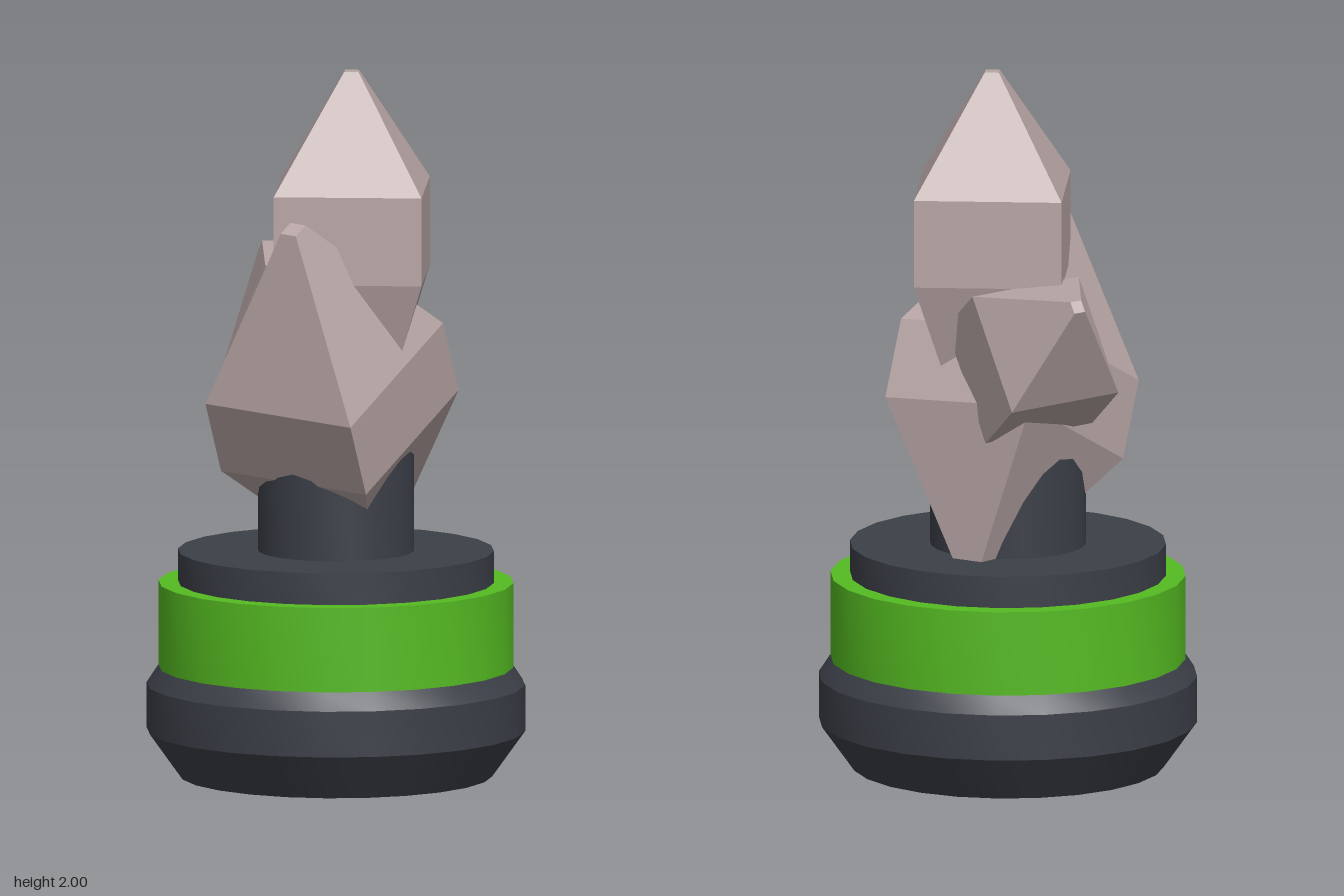
import * as THREE from 'three';
import { toCreasedNormals } from 'three/addons/utils/BufferGeometryUtils.js';

const dark = new THREE.MeshStandardMaterial({ color: 0x3b3f47 });
const green = new THREE.MeshStandardMaterial({ color: 0x55bb22 });
const stone = new THREE.MeshStandardMaterial({ color: 0xb9a6a6, flatShading: true });

// Round part from [radius, height] points
function turned(name, points, material) {
  const profile = points.map(([r, y]) => new THREE.Vector2(r, y));
  const geometry = toCreasedNormals(new THREE.LatheGeometry(profile, 24), 0.4);
  const mesh = new THREE.Mesh(geometry, material);
  mesh.name = name;
  return mesh;
}

// Four-sided crystal: blunt point, straight belt, tapering root.
// The origin is the middle of the belt's upper rim.
function crystal(name, { at, axis, side, halfX, halfZ, top, belt, root, tip }) {
  const k = Math.SQRT2, t = tip / halfX;
  const profile = [
    [0, -belt - root], [t * k, -belt - root], [k, -belt], [k, 0], [t * k, top], [0, top],
  ].map(([r, y]) => new THREE.Vector2(r, y));
  const geometry = new THREE.LatheGeometry(profile, 4, Math.PI / 4);
  geometry.scale(halfX, 1, halfZ);

  const y = new THREE.Vector3(...axis).normalize();
  const x = new THREE.Vector3().crossVectors(y, new THREE.Vector3(...side)).normalize();
  const z = new THREE.Vector3().crossVectors(x, y);
  geometry.applyMatrix4(new THREE.Matrix4().makeBasis(x, y, z).setPosition(...at));
  const flat = geometry.toNonIndexed();
  flat.computeVertexNormals();
  const mesh = new THREE.Mesh(flat, stone);
  mesh.name = name;
  return mesh;
}

export function createModel() {
  const model = new THREE.Group();
  model.name = 'crystalOnPedestal';

  // Pedestal with a hollow foot
  model.add(turned('foot', [
    [0, 0.2], [0.33, 0.2], [0.33, 0], [0.44, 0], [0.533, 0.13], [0.533, 0.26], [0.5, 0.31], [0, 0.31],
  ], dark));
  model.add(turned('band', [[0, 0.305], [0.5, 0.305], [0.5, 0.55], [0, 0.55]], green));
  model.add(turned('plate', [[0, 0.54], [0.445, 0.54], [0.445, 0.64], [0, 0.64]], dark));
  model.add(turned('stem', [[0, 0.63], [0.22, 0.63], [0.22, 1.14], [0, 1.14]], dark));

  // Crystal cluster
  model.add(crystal('mainCrystal', {
    at: [0.03, 1.67, -0.035], axis: [0, 1, 0], side: [0.18, 0, -0.105],
    halfX: 0.208, halfZ: 0.208, top: 0.33, belt: 0.25, root: 0.63, tip: 0.02,
  }));
  model.add(crystal('frontCrystal', {
    at: [0.01, 1.18, 0.075], axis: [0.07, 0.89, 0.45], side: [0, -0.45, 0.89],
    halfX: 0.24, halfZ: 0.264, top: 0.46, belt: 0.23, root: 0.45, tip: 0.025,
  }));
  model.add(crystal('backCrystal', {
    at: [-0.25, 1.275, -0.185], axis: [-0.696, 0.568, -0.44], side: [0.16, -0.02, -0.295],
    halfX: 0.18, halfZ: 0.168, top: 0.273, belt: 0.22, root: 0.35, tip: 0.018,
  }));
  return model;
}
